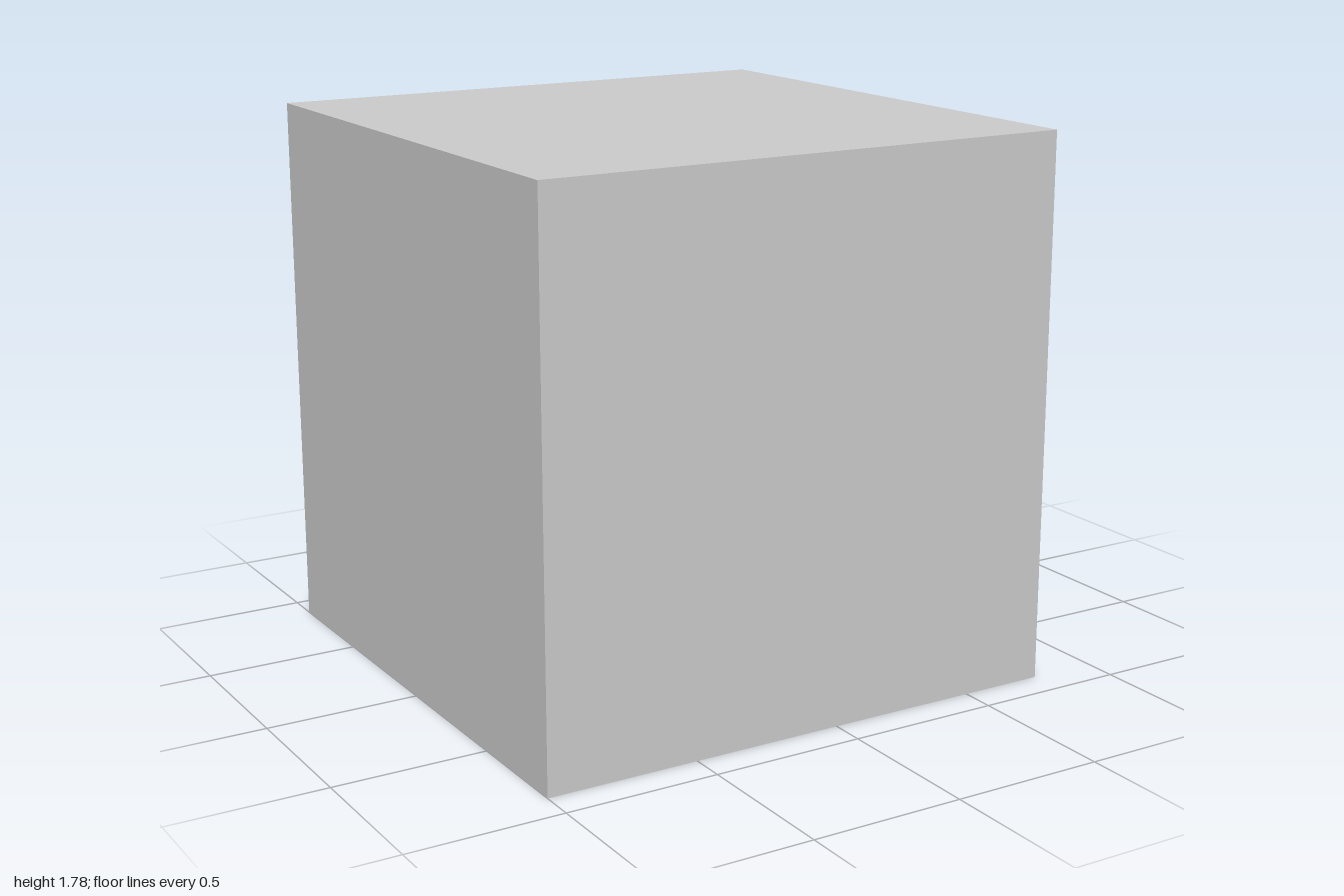
import * as THREE from 'three';

// Everything sits on a block grid: nine units span the full length of 2.
const U = 2 / 9;

export function createModel() {
  const model = new THREE.Group();
  model.name = 'blockHead';
  const material = new THREE.MeshStandardMaterial({ color: 0xcccccc, flatShading: true });

  // Box given by its size and lowest corner, in grid units
  const addBox = (name, [w, h, d], [x, y, z]) => {
    const mesh = new THREE.Mesh(new THREE.BoxGeometry(w * U, h * U, d * U), material);
    mesh.position.set((x + w / 2) * U, (y + h / 2) * U, (z + d / 2) * U);
    mesh.name = name;
    model.add(mesh);
  };

  // Cubic head
  addBox('head', [8, 8, 8], [-4.5, 0, -4]);
  // Snout on the +x side
  addBox('snout', [1, 3, 4], [3.5, 1, -2]);

  return model;
}
